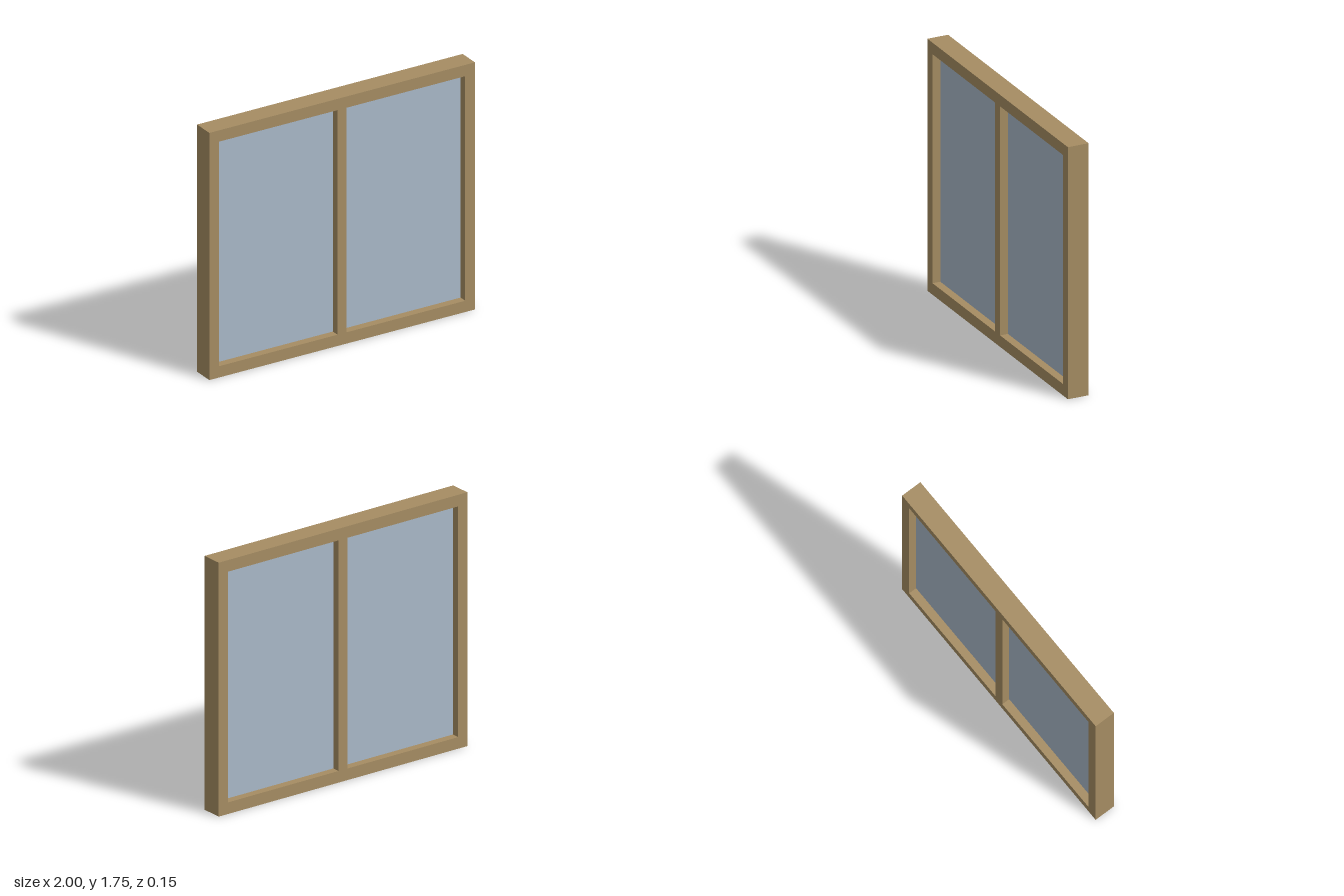
import * as THREE from 'three';

const WIDTH = 2, HEIGHT = 1.75, DEPTH = 0.148;
const STILE = 0.073, RAIL = 0.08, MULLION = 0.07;
const GLASS_DEPTH = 0.036;

// Traces a rectangle onto a Shape or Path
function rectangle(path, x0, y0, x1, y1) {
  path.moveTo(x0, y0);
  path.lineTo(x1, y0);
  path.lineTo(x1, y1);
  path.lineTo(x0, y1);
  path.closePath();
  return path;
}

export function createModel() {
  const wood = new THREE.MeshStandardMaterial({ color: 0xa68d63 });
  wood.name = 'wood';
  const glass = new THREE.MeshStandardMaterial({ color: 0xaab9c9 });
  glass.name = 'glass';

  const group = new THREE.Group();
  group.name = 'window';

  const inner = MULLION / 2, outer = WIDTH / 2 - STILE;
  const paneWidth = outer - inner, paneHeight = HEIGHT - 2 * RAIL;
  const outline = rectangle(new THREE.Shape(), -WIDTH / 2, 0, WIDTH / 2, HEIGHT);

  for (const side of [-1, 1]) {
    // Opening in the frame
    const centre = side * (inner + outer) / 2;
    outline.holes.push(rectangle(new THREE.Path(),
      centre - paneWidth / 2, RAIL, centre + paneWidth / 2, HEIGHT - RAIL));

    // Recessed pane, visible from both sides
    const pane = new THREE.Mesh(new THREE.BoxGeometry(paneWidth, paneHeight, GLASS_DEPTH), glass);
    pane.name = side < 0 ? 'rightPane' : 'leftPane';
    pane.position.set(centre, HEIGHT / 2, 0);
    group.add(pane);
  }

  // Frame with its central mullion
  const geometry = new THREE.ExtrudeGeometry(outline, { depth: DEPTH, bevelEnabled: false });
  geometry.translate(0, 0, -DEPTH / 2);
  const frame = new THREE.Mesh(geometry, wood);
  frame.name = 'frame';
  group.add(frame);

  return group;
}
